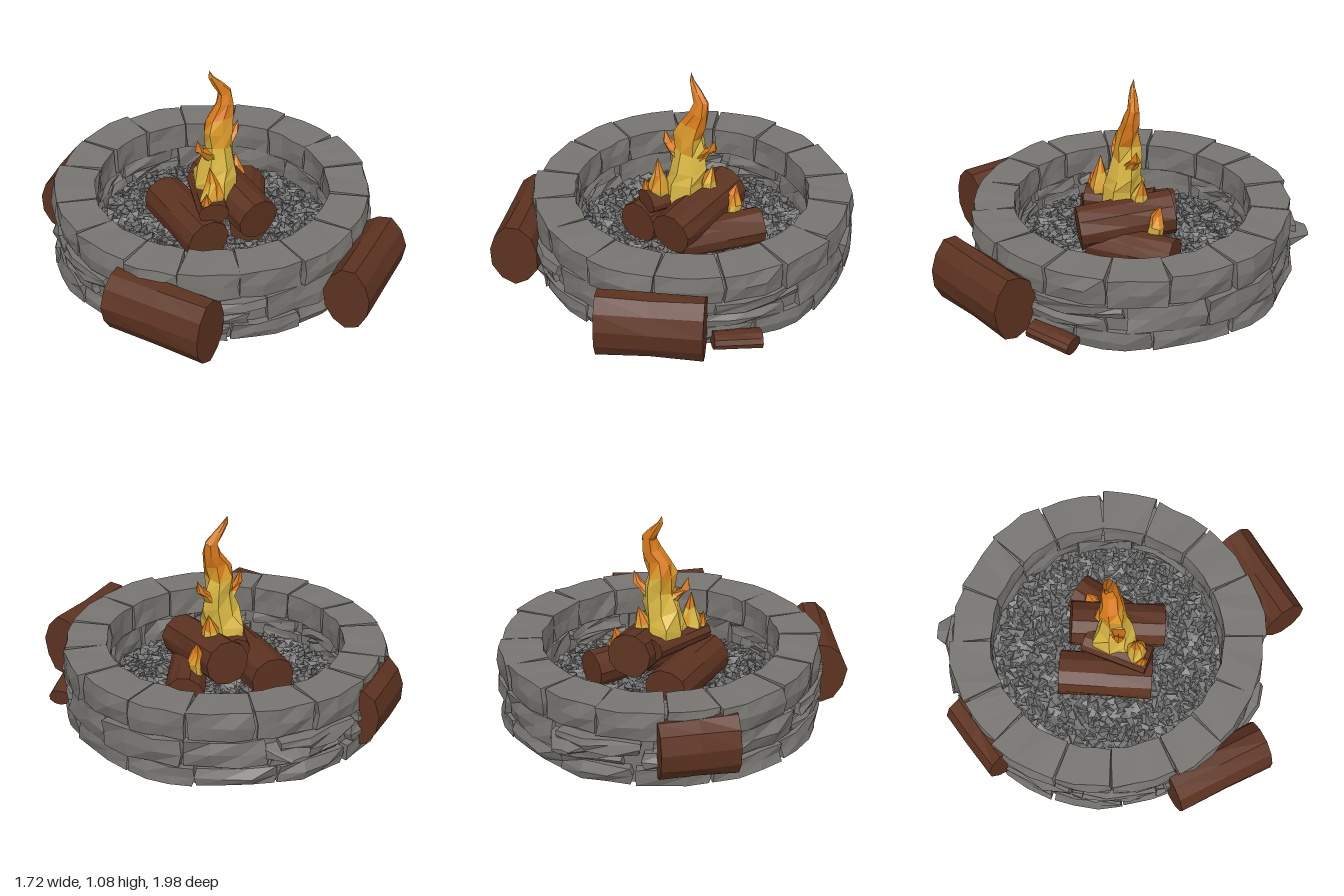
import * as THREE from 'three';
import { mergeGeometries } from 'three/addons/utils/BufferGeometryUtils.js';

const mat = (name, color, extra = {}) => Object.assign(new THREE.MeshStandardMaterial({ color, ...extra }), { name });

// Repeatable noise in 0..1 and -1..1
const hash = (a, b = 0, c = 0, d = 0) => {
  const s = Math.sin(a * 127.1 + b * 311.7 + c * 74.7 + d * 53.3) * 43758.5453;
  return s - Math.floor(s);
};
const noise = (...v) => hash(...v.map(n => Math.round(n * 100) / 100 + 0)) * 2 - 1;

// Move every vertex by a rule, then facet the result
function shape(geo, rule) {
  const p = geo.attributes.position;
  const v = new THREE.Vector3();
  for (let i = 0; i < p.count; i++) {
    v.fromBufferAttribute(p, i);
    rule(v);
    p.setXYZ(i, v.x, v.y, v.z);
  }
  const flat = geo.index ? geo.toNonIndexed() : geo;
  flat.computeVertexNormals();
  return flat;
}

export function createModel() {
  const stone = mat('stone grey', 0x777571);
  const gravel = mat('gravel grey', 0x747474);
  const wood = mat('wood brown', 0x5c3220);
  const soil = mat('soil brown', 0x574129);
  const yellow = mat('flame yellow', 0xdab843);
  const amber = mat('flame amber', 0xdc9a2a);
  const orange = mat('flame orange', 0xd87a1a);

  const model = new THREE.Group();
  model.name = 'firePit';
  const pit = new THREE.Group();
  pit.name = 'stonePit';
  pit.position.set(0.005, 0, -0.07);
  model.add(pit);

  const add = (parent, name, geo, material) => {
    const mesh = new THREE.Mesh(geo, material);
    mesh.name = name;
    parent.add(mesh);
    return mesh;
  };

  // Mortar core behind the stones
  const profile = [[0.5, 0.002], [0.8, 0.002], [0.8, 0.37], [0.645, 0.37], [0.645, 0.05], [0.5, 0.05], [0.5, 0.002]];
  add(pit, 'mortarCore', shape(new THREE.LatheGeometry(profile.map(q => new THREE.Vector2(...q)), 40), () => {}), stone);

  // One curved stone between two angles, two heights and two radii
  function block(a0, a1, y0, y1, r0, r1, seed, rough) {
    return shape(new THREE.BoxGeometry(1, 1, 1, 3, 2, 1), v => {
      const n = k => noise(v.x, v.y, v.z, seed + k);
      const outer = v.z > 0;
      const edge = Math.abs(v.x) > 0.4 || Math.abs(v.y) > 0.4;
      const a = THREE.MathUtils.lerp(a0, a1, v.x + 0.5) + n(1) * 0.012;
      const r = (outer ? r1 : r0) + n(2) * rough + (outer && !edge ? 0.012 : 0);
      const y = THREE.MathUtils.lerp(y0, y1, v.y + 0.5) + n(3) * rough * 0.5;
      v.set(Math.sin(a) * r, Math.max(y, 0), Math.cos(a) * r);
    });
  }

  // Three courses of stones; some of the lower ones are split in two
  const courses = [
    { name: 'bottomCourse', count: 13, y0: 0, y1: 0.1, r0: 0.62, r1: 0.83, turn: 0.1, rough: 0.015, split: 0 },
    { name: 'middleCourse', count: 12, y0: 0.105, y1: 0.245, r0: 0.62, r1: 0.83, turn: 0.32, rough: 0.018, split: 0.55 },
    { name: 'capCourse', count: 16, y0: 0.25, y1: 0.398, r0: 0.615, r1: 0.828, turn: 0.1, rough: 0.009, split: 0 },
  ];
  courses.forEach((c, ci) => {
    const parts = [];
    const step = Math.PI * 2 / c.count;
    const start = i => (i % c.count) * step + c.turn + noise(i % c.count, ci) * step * 0.12 + (i >= c.count ? Math.PI * 2 : 0);
    for (let i = 0; i < c.count; i++) {
      const a0 = start(i) + 0.008, a1 = start(i + 1) - 0.008, seed = ci * 100 + i * 7;
      const r1 = c.r1 + noise(i, ci, 5) * 0.012;
      if (hash(i, ci, 9) < c.split) {
        const ym = c.y0 + (c.y1 - c.y0) * (0.45 + 0.15 * hash(i, 3));
        parts.push(block(a0, a1 - 0.1, c.y0, ym - 0.004, c.r0, r1, seed, c.rough));
        parts.push(block(a0 + 0.06, a1, ym + 0.004, c.y1, c.r0, r1 + 0.012, seed + 3, c.rough));
      } else parts.push(block(a0, a1, c.y0, c.y1, c.r0, r1, seed, c.rough));
    }
    add(pit, c.name, mergeGeometries(parts), stone);
  });

  // Pointed stone sticking out at the back
  const spike = shape(new THREE.CylinderGeometry(0.05, 0.2, 0.2, 6, 1), v => {
    v.z *= v.y > 0 ? 0.25 : 0.38;
    v.x += noise(v.x, v.z) * 0.012;
  });
  spike.rotateX(-Math.PI / 2);
  add(pit, 'jutStone', spike, stone).position.set(0.05, 0.175, -0.83);

  // Soil bed with a ragged rim, topped with gravel chips
  const bed = new THREE.CylinderGeometry(0.635, 0.6, 0.115, 48, 1);
  const groups = bed.groups.map(g => ({ ...g }));
  const bedFlat = shape(bed, v => {
    if (v.y < 0 && Math.hypot(v.x, v.z) > 0.1) {
      const s = 1 + noise(v.x, v.z) * 0.03;
      v.x *= s;
      v.z *= s;
    }
  });
  bedFlat.clearGroups();
  groups.forEach(g => bedFlat.addGroup(g.start, g.count, g.materialIndex));
  add(pit, 'soilBed', bedFlat, [soil, gravel, soil]).position.y = 0.0575;

  const chips = [];
  for (let i = 0; i < 1000; i++) {
    const r = Math.sqrt((i + 0.5) / 1000) * 0.615, a = i * 2.39996;
    const chip = new THREE.TetrahedronGeometry(0.024 + 0.02 * hash(i, 1));
    chip.rotateX(hash(i, 2) * 6.28).rotateY(hash(i, 3) * 6.28);
    chip.scale(1, 0.75, 1);
    chip.translate(Math.sin(a) * r + noise(i, 4) * 0.01, 0.116 + 0.014 * hash(i, 5), Math.cos(a) * r + noise(i, 6) * 0.01);
    chips.push(chip);
  }
  add(pit, 'gravelChips', mergeGeometries(chips), gravel);

  // Log from one point to another with an oval, roughly hewn section
  function log(name, from, to, rx, ry, seed) {
    const a = new THREE.Vector3(...from), b = new THREE.Vector3(...to);
    const geo = new THREE.CylinderGeometry(1, 1, a.distanceTo(b), 11, 2).rotateX(Math.PI / 2);
    const hewn = shape(geo, v => {
      const s = 0.97 + 0.05 * noise(v.x, v.y, v.z, seed);
      v.x *= rx * s;
      v.y *= ry * s;
    });
    const mesh = add(model, name, hewn, wood);
    mesh.position.copy(a).add(b).multiplyScalar(0.5);
    mesh.lookAt(b);
  }

  // Seat logs leaning on and set into the wall
  log('seatLogRight', [-0.75, 0.18, 0.31], [-0.475, 0.18, 0.775], 0.135, 0.178, 1);
  log('seatLogLeft', [0.23, 0.18, 0.885], [0.66, 0.18, 0.58], 0.13, 0.178, 2);
  log('buriedLog', [-0.66, 0.2, -0.55], [-0.36, 0.2, -0.8], 0.125, 0.17, 3);
  log('woodStub', [0.64, 0.05, 0.5], [0.79, 0.03, 0.31], 0.06, 0.045, 4);

  // Firewood stack
  log('fireLogRight', [-0.155, 0.225, 0.18], [-0.155, 0.225, -0.315], 0.125, 0.12, 5);
  log('fireLogLeft', [0.1, 0.21, 0.15], [0.32, 0.21, -0.25], 0.105, 0.1, 6);
  log('fireLogTop', [0.115, 0.3, 0.225], [0.085, 0.35, -0.27], 0.12, 0.12, 7);
  log('fireLogSmall', [-0.11, 0.37, 0.16], [0.0, 0.37, -0.18], 0.085, 0.06, 8);

  // Flame tongue from rings of [x, y, z, halfWidth, halfDepth]; faces grouped by colour
  function tongue(name, rings, seed, low, high) {
    const last = rings.length - 1;
    const geo = shape(new THREE.CylinderGeometry(1, 1, 1, 7, last, true), v => {
      const row = Math.round((v.y + 0.5) * last);
      const [x, y, z, w, d] = rings[row];
      const s = 1 + noise(v.x, v.z, row, seed) * 0.2;
      const lift = row === last ? 0 : noise(v.x, v.z, row, seed + 1) * w * 0.25;
      v.set(x + v.x * w * s, y + lift, z + v.z * d * s);
    });
    const p = geo.attributes.position;
    geo.clearGroups();
    for (let i = 0; i < p.count; i += 3) {
      const y = (p.getY(i) + p.getY(i + 1) + p.getY(i + 2)) / 3 + noise(i, seed) * 0.05;
      geo.addGroup(i, 3, y < low ? 0 : y < high ? 1 : 2);
    }
    add(model, name, geo, [yellow, amber, orange]);
  }

  tongue('mainFlame', [
    [-0.01, 0.36, -0.03, 0.11, 0.11], [-0.005, 0.45, -0.03, 0.125, 0.11], [0.02, 0.55, -0.03, 0.1, 0.095],
    [0.02, 0.65, -0.035, 0.08, 0.08], [0.015, 0.73, -0.04, 0.075, 0.07], [0.03, 0.8, -0.045, 0.075, 0.06],
    [0.07, 0.87, -0.05, 0.05, 0.045], [0.075, 0.93, -0.06, 0.037, 0.032], [0.04, 0.985, -0.065, 0.027, 0.025],
    [0.005, 1.03, -0.07, 0.015, 0.014], [-0.008, 1.07, -0.077, 0, 0]], 1, 0.69, 0.78);
  tongue('sideFlameRight', [
    [-0.01, 0.58, -0.03, 0.05, 0.05], [-0.06, 0.635, -0.01, 0.035, 0.035],
    [-0.105, 0.665, 0.0, 0.025, 0.025], [-0.12, 0.73, 0.0, 0, 0]], 2, 0.57, 0.64);
  tongue('sideFlameLeft', [
    [0.05, 0.58, -0.04, 0.05, 0.05], [0.1, 0.645, -0.06, 0.035, 0.035],
    [0.14, 0.68, -0.07, 0.025, 0.025], [0.16, 0.74, -0.07, 0, 0]], 3, 0.57, 0.64);
  tongue('frontFlame', [
    [-0.09, 0.36, 0.08, 0.055, 0.055], [-0.085, 0.44, 0.09, 0.055, 0.055],
    [-0.08, 0.52, 0.09, 0.03, 0.03], [-0.095, 0.61, 0.085, 0, 0]], 4, 0.48, 0.53);
  tongue('edgeFlame', [
    [-0.11, 0.36, 0.11, 0.04, 0.04], [-0.135, 0.42, 0.12, 0.03, 0.03], [-0.14, 0.49, 0.135, 0, 0]], 5, 0.4, 0.43);
  tongue('backFlame', [
    [0.09, 0.38, -0.1, 0.05, 0.05], [0.1, 0.47, -0.1, 0.04, 0.04], [0.115, 0.56, -0.11, 0, 0]], 6, 0.47, 0.51);
  tongue('logFlame', [
    [0.21, 0.26, -0.16, 0.03, 0.045], [0.22, 0.34, -0.17, 0.035, 0.045],
    [0.205, 0.4, -0.17, 0.025, 0.03], [0.215, 0.455, -0.19, 0, 0]], 7, 0.33, 0.37);

  return model;
}
